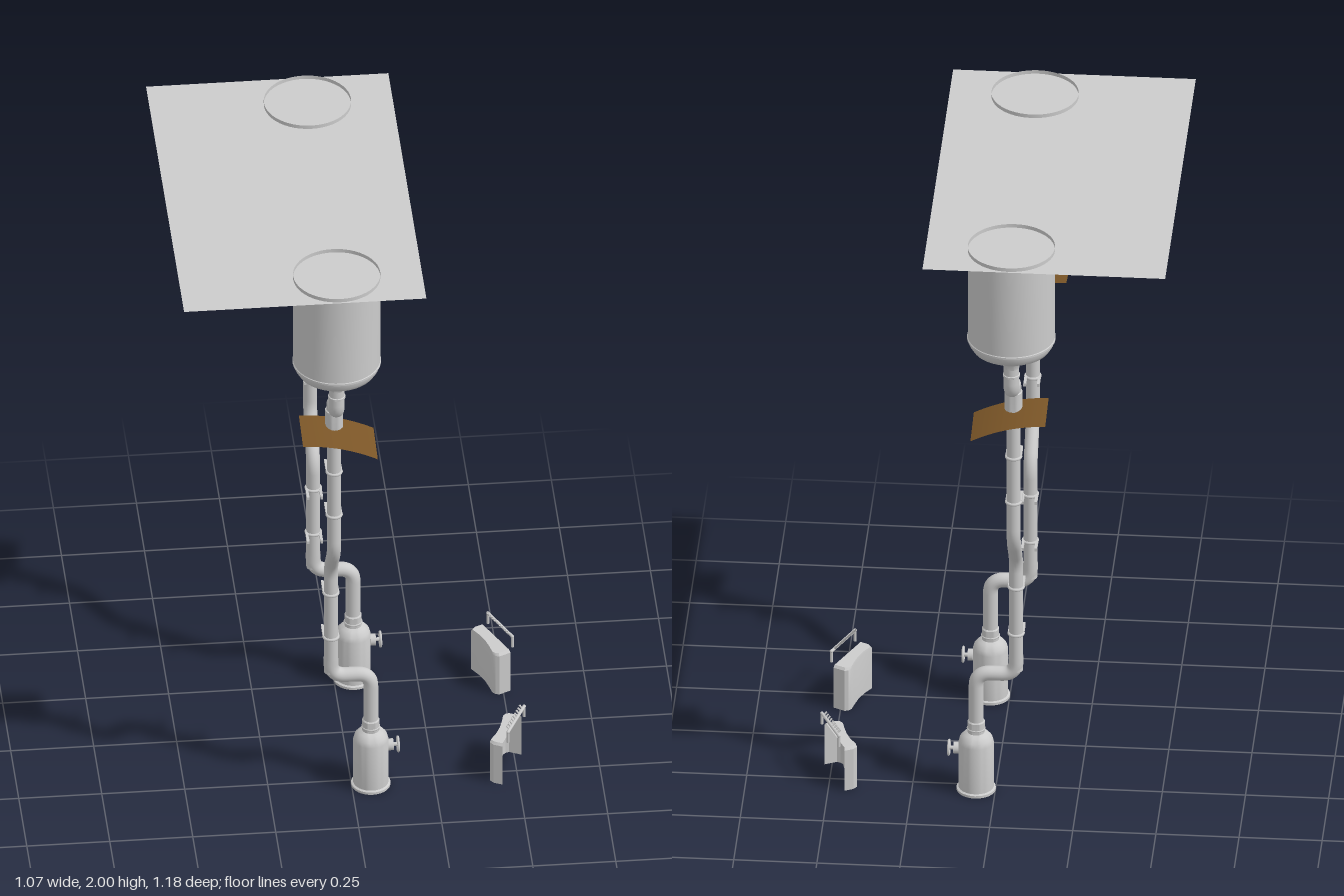
import * as THREE from 'three';
import { toCreasedNormals } from 'three/addons/utils/BufferGeometryUtils.js';

const grey = new THREE.MeshStandardMaterial({ color: 0xcccccc, side: THREE.DoubleSide });
const brown = new THREE.MeshStandardMaterial({ color: 0x7a5527, side: THREE.DoubleSide });
const V = (x, y, z) => new THREE.Vector3(x, y, z);

const PIPE_X = -0.062, TANK_Z = 0.455, UPPER_Z = 0.372, LOWER_Z = 0.275, FOOT_X = 0.058;

function add(parent, name, geometry, x = 0, y = 0, z = 0, material = grey) {
  const mesh = new THREE.Mesh(geometry, material);
  mesh.name = name;
  mesh.position.set(x, y, z);
  parent.add(mesh);
  return mesh;
}

// Turned part from [radius, height] pairs, with sharp corners kept
function lathe(profile, sides = 40) {
  const points = profile.map(([r, y]) => new THREE.Vector2(r, y));
  return toCreasedNormals(new THREE.LatheGeometry(points, sides), 0.6);
}

// Round pipe along a polyline whose corners are filleted
function pipe(points, radius, bend, segments = 60) {
  const path = new THREE.CurvePath();
  let from = points[0];
  for (let i = 1; i < points.length - 1; i++) {
    const p = points[i];
    const a = p.clone().add(points[i - 1].clone().sub(p).setLength(bend));
    const b = p.clone().add(points[i + 1].clone().sub(p).setLength(bend));
    path.add(new THREE.LineCurve3(from, a));
    path.add(new THREE.QuadraticBezierCurve3(a, p, b));
    from = b;
  }
  path.add(new THREE.LineCurve3(from, points[points.length - 1]));
  return new THREE.TubeGeometry(path, segments, radius, 18);
}

const rod = (a, b, radius) => new THREE.TubeGeometry(new THREE.LineCurve3(a, b), 1, radius, 10);

// Tank with rolled seam and funnel bottom
function addTank(parent) {
  add(parent, 'tank', lathe([
    [0.131, 2], [0.131, 1.69], [0.133, 1.688], [0.133, 1.682], [0.129, 1.68],
    [0.127, 1.668], [0.117, 1.652], [0.06, 1.622], [0.036, 1.608], [0.026, 1.596], [0.024, 1.58],
  ], 48), PIPE_X, 0, TANK_Z);
}

// Downpipe in three runs, with joints and wall clamps
function addDownpipe(parent) {
  add(parent, 'upperElbow', pipe([
    V(PIPE_X, 1.6, TANK_Z), V(PIPE_X, 1.487, TANK_Z), V(PIPE_X, 1.487, UPPER_Z), V(PIPE_X, 1.42, UPPER_Z),
  ], 0.0235, 0.04));
  add(parent, 'mainPipe', pipe([
    V(PIPE_X, 1.44, UPPER_Z), V(PIPE_X, 0.925, UPPER_Z), V(PIPE_X, 0.805, LOWER_Z), V(PIPE_X, 0.42, LOWER_Z),
  ], 0.021, 0.04, 100));
  add(parent, 'lowerElbow', pipe([
    V(PIPE_X, 0.47, LOWER_Z), V(PIPE_X, 0.405, LOWER_Z), V(FOOT_X, 0.405, LOWER_Z), V(FOOT_X, 0.22, LOWER_Z),
  ], 0.0225, 0.045));

  add(parent, 'neckJoint', lathe([[0.023, 1.548], [0.026, 1.55], [0.026, 1.556], [0.023, 1.558]], 24), PIPE_X, 0, TANK_Z);
  add(parent, 'sleeve', lathe([[0.02, 1.385], [0.027, 1.387], [0.027, 1.447], [0.022, 1.45]], 24), PIPE_X, 0, UPPER_Z);

  for (const [y, z] of [[1.22, UPPER_Z], [1.063, UPPER_Z], [0.709, LOWER_Z], [0.548, LOWER_Z]]) {
    const clamp = new THREE.Group();
    clamp.name = 'wallClamp';
    clamp.position.set(PIPE_X, y, z);
    const band = add(clamp, 'clampBand', new THREE.TorusGeometry(0.0215, 0.005, 8, 24));
    band.rotation.x = Math.PI / 2;
    for (const side of [-1, 1]) {
      add(clamp, 'clampLeg', new THREE.BoxGeometry(0.008, 0.01, 0.058), side * 0.0205, 0, -0.029);
    }
    parent.add(clamp);
  }
}

// Curved, slightly tilted sheet around the sleeve
function addSheet(parent) {
  const geometry = new THREE.PlaneGeometry(0.225, 0.133, 16, 1);
  const p = geometry.attributes.position;
  for (let i = 0; i < p.count; i++) {
    const s = p.getX(i) + 0.1125, t = p.getY(i) + 0.0665;
    p.setXYZ(i, s - 0.165, 1.408 - 1.18 * s * s - 0.17 * t, 0.34 + t);
  }
  geometry.computeVertexNormals();
  add(parent, 'curvedSheet', geometry, 0, 0, 0, brown);
}

// Open-bottomed canister with a side valve
function addCanister(parent) {
  add(parent, 'canister', lathe([
    [0.05, 0], [0.059, 0], [0.059, 0.008], [0.053, 0.011], [0.053, 0.165], [0.049, 0.18],
    [0.037, 0.194], [0.026, 0.2], [0.026, 0.236], [0.0225, 0.24],
  ], 32), FOOT_X, 0, LOWER_Z);
  add(parent, 'canisterCollar', new THREE.TorusGeometry(0.0255, 0.003, 8, 24), FOOT_X, 0.212, LOWER_Z).rotation.x = Math.PI / 2;

  const valve = new THREE.Group();
  valve.name = 'valve';
  valve.position.set(FOOT_X, 0.14, LOWER_Z);
  add(valve, 'valveStem', rod(V(0.045, 0, 0), V(0.087, 0, 0), 0.006));
  add(valve, 'valveBody', new THREE.CylinderGeometry(0.018, 0.018, 0.016, 20), 0.06, 0, 0).rotation.z = Math.PI / 2;
  add(valve, 'handwheel', new THREE.TorusGeometry(0.022, 0.004, 8, 24), 0.082, 0, 0).rotation.y = Math.PI / 2;
  for (let i = 0; i < 2; i++) {
    const a = Math.PI / 4 + i * Math.PI / 2, c = 0.022 * Math.cos(a), s = 0.022 * Math.sin(a);
    add(valve, 'wheelSpoke', rod(V(0.082, -c, -s), V(0.082, c, s), 0.0025));
  }
  parent.add(valve);
}

// Bin shell: bent wall open on its outer side and below, closed on top
function addBin(parent) {
  const outline = [
    [0.45, 0.318], [0.425, 0.306], [0.415, 0.292], [0.437, 0.257], [0.451, 0.225],
    [0.46, 0.193], [0.467, 0.163], [0.476, 0.154], [0.487, 0.151], [0.522, 0.168],
  ];
  const inset = ([x, z]) => [x + (0.469 - x) * 0.07, z + (0.235 - z) * 0.07];
  const rows = [[0, outline], [0.139, outline], [0.147, outline.map(inset)]];
  const positions = [], index = [], n = outline.length;
  rows.forEach(([y, ring], r) => ring.forEach(([x, z], i) => {
    positions.push(x, y, z);
    if (r && i) {
      const d = r * n + i, c = d - 1, b = d - n, a = b - 1;
      index.push(a, c, b, b, c, d);
    }
  }));
  const wall = new THREE.BufferGeometry();
  wall.setAttribute('position', new THREE.Float32BufferAttribute(positions, 3));
  wall.setIndex(index);
  add(parent, 'binWall', toCreasedNormals(wall, 0.5));

  const top = new THREE.ShapeGeometry(new THREE.Shape(rows[2][1].map(([x, z]) => new THREE.Vector2(x, -z))));
  top.rotateX(-Math.PI / 2);
  add(parent, 'binTop', top, 0, 0.147, 0);

  // Rail with end posts and a row of pegs
  const a = V(0.468, 0.187, 0.312), b = V(0.529, 0.187, 0.183);
  add(parent, 'rail', rod(a, b, 0.005));
  for (const end of [a, b]) {
    add(parent, 'railPost', rod(end, V(end.x, 0.15, end.z), 0.0045));
    add(parent, 'railCorner', new THREE.SphereGeometry(0.0055, 12, 8), end.x, end.y, end.z);
  }
  for (let i = 0; i < 9; i++) {
    const p = a.clone().lerp(b, 0.1 + i * 0.1);
    add(parent, 'railPeg', rod(p, V(p.x - 0.009, 0.198, p.z - 0.004), 0.003));
  }
}

function createSide(name) {
  const side = new THREE.Group();
  side.name = name;
  addTank(side);
  addDownpipe(side);
  addSheet(side);
  addCanister(side);
  addBin(side);
  return side;
}

export function createModel() {
  const model = new THREE.Group();
  model.name = 'tankAndPipeSet';

  // Thin ceiling panel just below the tank rims
  const panel = new THREE.PlaneGeometry(0.73, 1.182);
  panel.rotateX(-Math.PI / 2);
  add(model, 'ceilingPanel', panel, -0.17, 1.988, 0);

  // Front set and its mirror at the back
  model.add(createSide('frontSet'));
  const back = createSide('backSet');
  back.scale.z = -1;
  model.add(back);
  return model;
}
